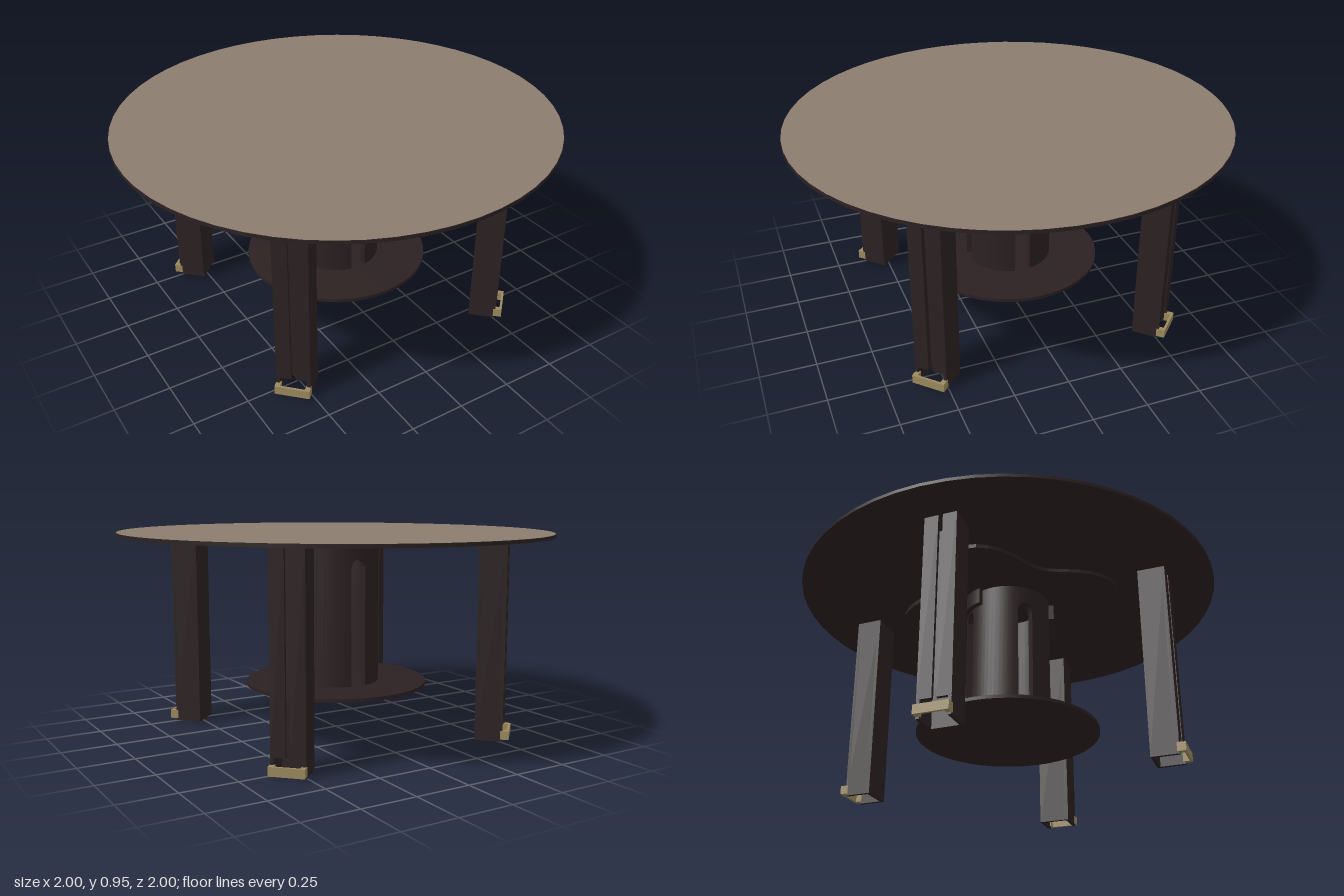
import * as THREE from 'three';

const stone = new THREE.MeshStandardMaterial({ color: 0x8b7d6f });
stone.name = 'taupe top';
const wood = new THREE.MeshStandardMaterial({ color: 0x2c2122 });
wood.name = 'dark brown';
const brass = new THREE.MeshStandardMaterial({ color: 0x9c8a5e });
brass.name = 'brass';

function add(parent, name, geometry, material, x = 0, y = 0, z = 0) {
  const mesh = new THREE.Mesh(geometry, material);
  mesh.name = name;
  mesh.position.set(x, y, z);
  parent.add(mesh);
  return mesh;
}

// Box given by its minimum and maximum corners
function block(parent, name, material, [x0, y0, z0], [x1, y1, z1]) {
  return add(parent, name, new THREE.BoxGeometry(x1 - x0, y1 - y0, z1 - z0), material,
    (x0 + x1) / 2, (y0 + y1) / 2, (z0 + z1) / 2);
}

// Box wrapped around the y axis; bottom(angle) gives its lower edge
function bentWall(a0, a1, r0, r1, bottom, top, segments) {
  const g = new THREE.BoxGeometry(1, 1, 1, segments, 1, 1);
  const p = g.attributes.position;
  for (let i = 0; i < p.count; i++) {
    const a = THREE.MathUtils.lerp(a0, a1, p.getX(i) + 0.5);
    const r = p.getZ(i) > 0 ? r1 : r0;
    p.setXYZ(i, Math.sin(a) * r, p.getY(i) > 0 ? top : bottom(a), Math.cos(a) * r);
  }
  g.computeVertexNormals();
  return g;
}

// Hollow post with a slit in the outer face and a brass shoe; outward is +z
function makeLeg() {
  const leg = new THREE.Group();
  leg.name = 'leg';
  const w = 0.075, inner = 0.67, outer = 0.795, t = 0.015, top = 0.926;
  block(leg, 'legInnerWall', wood, [-w, 0, inner], [w, top, inner + t]);
  for (const s of [-1, 1]) {
    const side = [s * w, s * (w - t)].sort((a, b) => a - b);
    const flange = [s * w, s * 0.01].sort((a, b) => a - b);
    block(leg, 'legSideWall', wood, [side[0], 0, inner], [side[1], top, outer]);
    block(leg, 'legOuterFlange', wood, [flange[0], 0.08, outer - t], [flange[1], top, outer + 0.001]);
    const clip = [s * (w + 0.002), s * (w - 0.02)].sort((a, b) => a - b);
    block(leg, 'shoeClip', brass, [clip[0], 0.01, outer - 0.01], [clip[1], 0.05, 0.823]);
  }
  block(leg, 'shoePlate', brass, [-w, 0.01, 0.813], [w, 0.05, 0.824]);
  return leg;
}

export function createModel() {
  const table = new THREE.Group();
  table.name = 'roundTable';

  // Slightly tilted round top: dark slab with a thin pale surface
  const top = new THREE.Group();
  top.name = 'tableTop';
  top.position.y = 0.932;
  top.rotation.set(0.004, 0, 0.006);
  add(top, 'topSlab', new THREE.CylinderGeometry(1, 1, 0.015, 56), wood);
  const face = new THREE.CircleGeometry(0.998, 56);
  face.rotateX(-Math.PI / 2);
  add(top, 'topSurface', face, stone, 0, 0.0085, 0);
  table.add(top);

  // Wavy mounting plate under the top, with lobes towards the legs
  const outline = [];
  for (let i = 0; i < 64; i++) {
    const a = (i / 64) * Math.PI * 2;
    const r = 0.46 - 0.09 * Math.cos(4 * a);
    outline.push(new THREE.Vector2(Math.cos(a) * r, Math.sin(a) * r));
  }
  const plate = new THREE.ExtrudeGeometry(new THREE.Shape(outline), { depth: 0.022, bevelEnabled: false });
  plate.rotateX(-Math.PI / 2);
  add(table, 'mountingPlate', plate, wood, 0, 0.905, 0);

  // Central tube with four arched slots
  const column = new THREE.Group();
  column.name = 'centralColumn';
  const half = 0.185, quarter = Math.PI / 2;
  for (let i = 0; i < 4; i++) {
    const a = i * quarter;
    add(column, 'columnPanel',
      bentWall(a + half, a + quarter - half, 0.17, 0.2, () => 0.235, 0.91, 12), wood);
    const arch = (b) => 0.785 + 0.037 * Math.sqrt(Math.max(0, 1 - ((b - a) / half) ** 2));
    add(column, 'columnArch', bentWall(a - half, a + half, 0.17, 0.2, arch, 0.91, 12), wood);
  }
  // Collars that thicken the front and back heads of the tube
  for (const a of [0, Math.PI]) {
    add(column, 'columnCollar', bentWall(a - 0.5, a + 0.5, 0.198, 0.225, () => 0.828, 0.91, 12), wood);
  }
  table.add(column);

  // Low shelf
  add(table, 'lowerShelf', new THREE.CylinderGeometry(0.425, 0.425, 0.016, 48), wood, 0, 0.23, 0);

  // Four legs on the diagonals
  for (let i = 0; i < 4; i++) {
    const leg = makeLeg();
    leg.rotation.y = Math.PI / 4 + i * quarter;
    table.add(leg);
  }
  return table;
}
